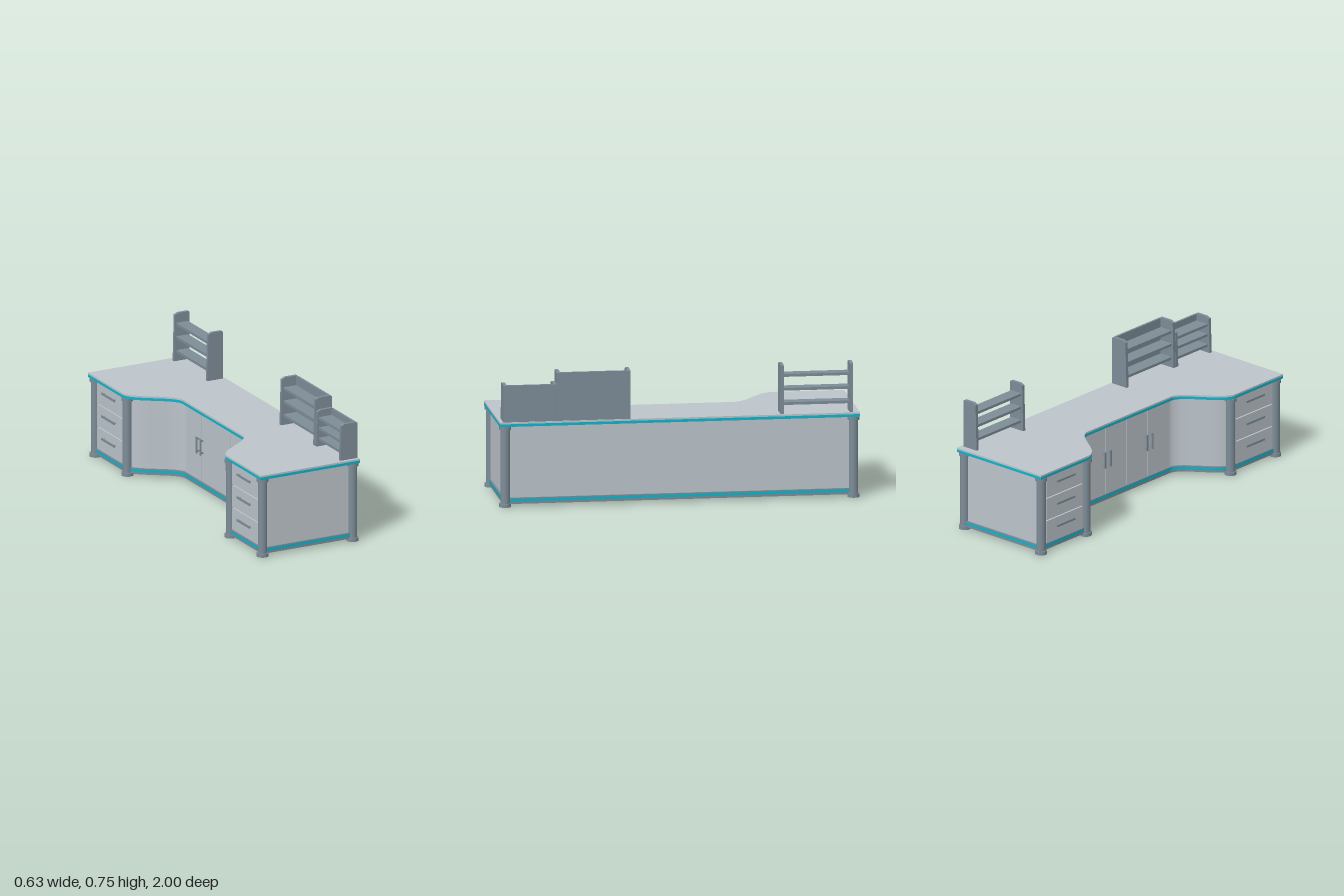
import * as THREE from 'three';

const mat = (name, color) => Object.assign(new THREE.MeshStandardMaterial({ color }), { name });

export function createModel() {
  const light = mat('light grey', 0xbcc4ca);
  const slate = mat('slate grey', 0x7d8c97);
  const cyan = mat('cyan trim', 0x0cb4cb);
  const model = new THREE.Group();

  const add = (name, geo, material, x = 0, y = 0, z = 0, parent = model) => {
    const m = new THREE.Mesh(geo, material);
    m.name = name;
    m.position.set(x, y, z);
    parent.add(m);
    return m;
  };
  const box = (name, w, h, d, material, x, y, z, parent) =>
    add(name, new THREE.BoxGeometry(w, h, d), material, x, y, z, parent);

  // Desk plan, two wings joined by a recessed middle, inset by d
  const plan = (d) => {
    const w = -0.31 + d, r = -0.07 + d, k = d * 0.4;
    const s = new THREE.Shape();
    s.moveTo(0.31 - d, -1 + d);
    s.lineTo(0.31 - d, 1 - d);
    s.lineTo(w, 1 - d);
    s.lineTo(w, 0.6 + k);
    s.bezierCurveTo(w + 0.02, 0.5 + k, r - 0.01, 0.44 + k, r, 0.35 + k);
    s.lineTo(r, -0.35 - k);
    s.bezierCurveTo(r - 0.01, -0.44 - k, w + 0.02, -0.5 - k, w, -0.6 - k);
    s.lineTo(w, -1 + d);
    s.closePath();
    return s;
  };
  const layer = (name, d, y0, y1, material) => {
    const g = new THREE.ExtrudeGeometry(plan(d), { depth: y1 - y0, bevelEnabled: false, curveSegments: 24 });
    g.rotateX(-Math.PI / 2);
    add(name, g, material, 0, y0, 0);
  };

  // Base, cabinet body and worktop
  layer('baseLower', 0.02, 0.016, 0.028, slate);
  layer('baseTrim', 0.02, 0.028, 0.043, cyan);
  layer('baseUpper', 0.02, 0.043, 0.05, slate);
  layer('cabinetBody', 0.03, 0.05, 0.453, light);
  layer('worktopTrim', 0, 0.453, 0.468, cyan);
  layer('worktop', 0, 0.468, 0.478, light);

  // Round legs with foot and collar
  const legSpots = [[-0.281, 0.967], [0.281, 0.967], [-0.281, 0.598]];
  for (const side of [1, -1]) {
    for (const [x, z] of legSpots) {
      const leg = new THREE.Group();
      leg.name = 'leg';
      leg.position.set(x, 0, z * side);
      model.add(leg);
      const disc = (name, r, y0, y1) =>
        add(name, new THREE.CylinderGeometry(r, r, y1 - y0, 32), slate, 0, (y0 + y1) / 2, 0, leg);
      disc('foot', 0.033, 0, 0.02);
      disc('post', 0.026, 0.02, 0.434);
      disc('collar', 0.033, 0.434, 0.453);
    }

    // Drawers in each wing
    for (let i = 0; i < 3; i++) {
      const y = 0.119 + i * 0.132;
      box('drawerFront', 0.01, 0.126, 0.3, light, -0.285, y, side * 0.783);
      box('drawerHandle', 0.006, 0.012, 0.15, slate, -0.301, y + 0.015, side * 0.783);
      for (const e of [-0.06, 0.06])
        box('handleMount', 0.012, 0.008, 0.008, slate, -0.294, y + 0.015, side * 0.783 + e);
    }

    // Pair of doors with upright handles
    for (const s of [-1, 1]) {
      box('door', 0.01, 0.39, 0.168, light, -0.045, 0.251, side * 0.173 + s * 0.0865);
      const z = side * 0.173 + s * 0.022;
      box('doorHandle', 0.006, 0.095, 0.012, slate, -0.066, 0.26, z);
      for (const e of [-0.035, 0.035])
        box('handleMount', 0.016, 0.008, 0.008, slate, -0.057, 0.26 + e, z);
    }
  }

  // Desktop shelf units, from z0 to z1, up to height h
  const shelfUnit = (name, z0, z1, h, xBack, hasBack) => {
    const unit = new THREE.Group();
    unit.name = name;
    model.add(unit);
    const t = 0.018, base = 0.478;
    const profile = new THREE.Shape([
      [0.198, base], [xBack, base], [xBack, h - 0.005], [xBack - 0.008, h],
      [0.226, h], [0.205, h - 0.01],
    ].map(([x, y]) => new THREE.Vector2(x, y)));
    const side = new THREE.ExtrudeGeometry(profile, { depth: t, bevelEnabled: false });
    add('sidePanel', side, slate, 0, 0, z0, unit);
    add('sidePanel', side, slate, 0, 0, z1 - t, unit);
    const mid = (z0 + z1) / 2, len = z1 - z0 - 2 * t;
    for (const f of [0.2, 0.49, 0.77])
      box('shelf', xBack - 0.222, 0.015, len, slate, (xBack + 0.202) / 2, base + f * (h - base), mid, unit);
    if (hasBack) box('backPanel', 0.012, h - base - 0.003, len, slate, xBack - 0.006, (base + h - 0.003) / 2, mid, unit);
  };
  shelfUnit('tallShelfUnit', 0.275, 0.683, 0.752, 0.305, true);
  shelfUnit('lowShelfUnit', 0.686, 0.98, 0.687, 0.305, true);
  shelfUnit('openShelfUnit', -0.963, -0.56, 0.755, 0.295, false);

  return model;
}
